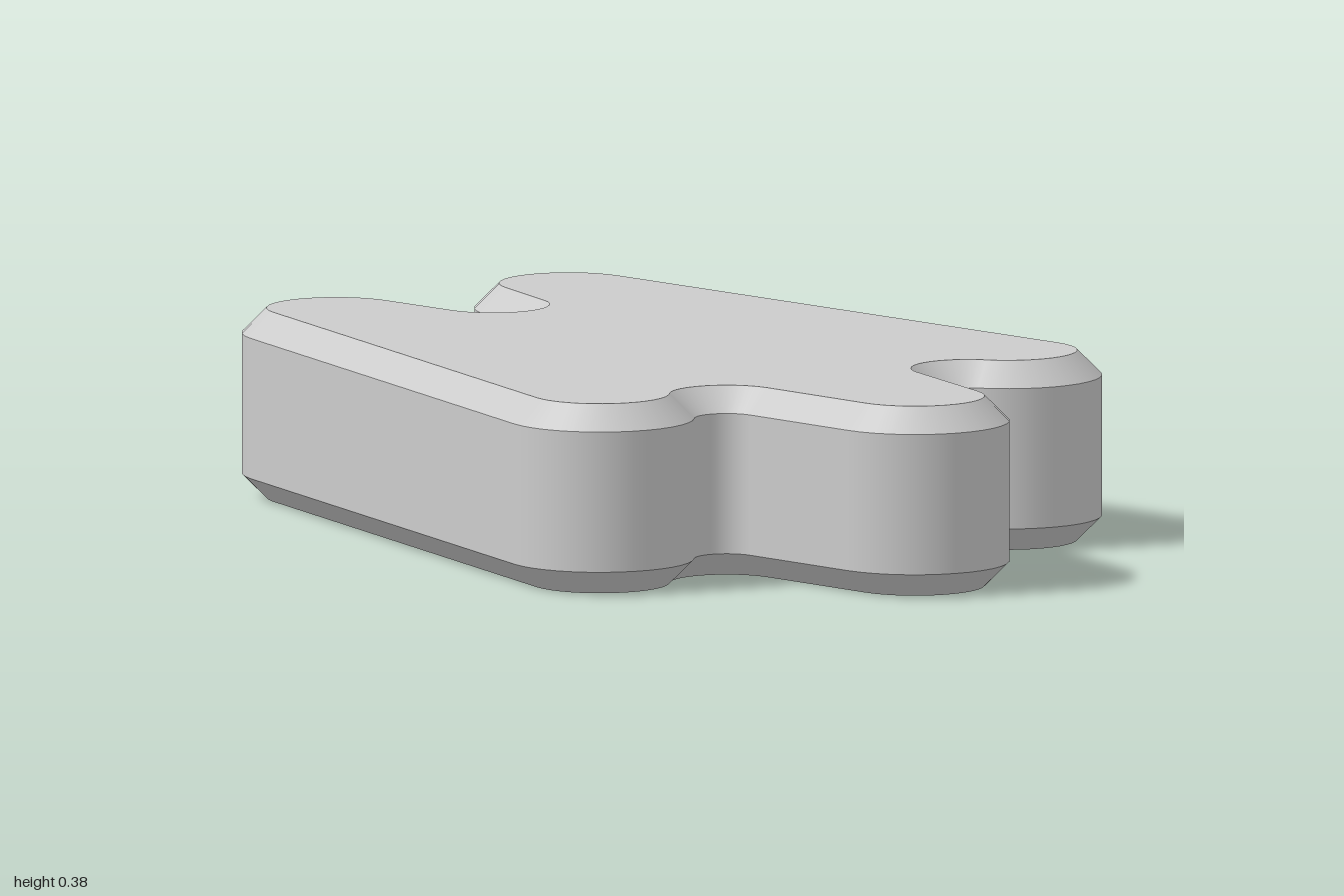
import * as THREE from 'three';

const HEIGHT = 0.385, CHAMFER = 0.05, ARC_STEPS = 16;
const LOBE = 0.19, NOTCH = -0.065; // signed radii: lobes bulge out, notches cut in

// Outline circles [x, depth toward the back, signed radius], counterclockwise from above
const CIRCLES = [
  [0, -0.81, LOBE],
  [0.296, -0.573, NOTCH],
  [0.5, -0.42, LOBE],
  [0.285, 0.81, LOBE],
  [0, 0.67, NOTCH],
  [-0.285, 0.81, LOBE],
  [-0.5, -0.42, LOBE],
  [-0.296, -0.573, NOTCH],
];

// Angle of the outward normal of the common tangent from circle a to circle b
function tangentNormal(a, b) {
  const dx = b[0] - a[0], dy = b[1] - a[1];
  const c = THREE.MathUtils.clamp((a[2] - b[2]) / Math.hypot(dx, dy), -1, 1);
  return Math.atan2(dy, dx) - Math.acos(c);
}

// Samples of the outline: circle plus outward normal, so any inset is exact
function outlineSamples() {
  const n = CIRCLES.length, samples = [];
  CIRCLES.forEach((circle, i) => {
    const start = tangentNormal(CIRCLES[(i + n - 1) % n], circle);
    const end = tangentNormal(circle, CIRCLES[(i + 1) % n]);
    let sweep = THREE.MathUtils.euclideanModulo(end - start, Math.PI * 2);
    if (circle[2] < 0) sweep -= Math.PI * 2;
    for (let k = 0; k <= ARC_STEPS; k++) {
      const t = start + (sweep * k) / ARC_STEPS;
      samples.push({ circle, nx: Math.cos(t), ny: Math.sin(t) });
    }
  });
  return samples;
}

function ring(samples, inset) {
  return samples.map(({ circle: [x, y, r], nx, ny }) =>
    new THREE.Vector2(x + (r - inset) * nx, y + (r - inset) * ny));
}

// Band between two levels, smooth around the outline and sharp at its rims
function band(samples, y0, inset0, y1, inset1) {
  const lower = ring(samples, inset0), upper = ring(samples, inset1);
  const slope = new THREE.Vector2(y1 - y0, inset1 - inset0).normalize();
  const positions = [], normals = [], index = [], n = samples.length;
  samples.forEach(({ nx, ny }, i) => {
    positions.push(lower[i].x, y0, -lower[i].y, upper[i].x, y1, -upper[i].y);
    for (let k = 0; k < 2; k++) normals.push(nx * slope.x, slope.y, -ny * slope.x);
    const a = i * 2, b = ((i + 1) % n) * 2;
    index.push(a, b, b + 1, a, b + 1, a + 1);
  });
  const geometry = new THREE.BufferGeometry();
  geometry.setAttribute('position', new THREE.Float32BufferAttribute(positions, 3));
  geometry.setAttribute('normal', new THREE.Float32BufferAttribute(normals, 3));
  geometry.setIndex(index);
  return geometry;
}

// Flat cap; side is +1 for the top face and -1 for the underside
function cap(samples, y, side) {
  const points = ring(samples, CHAMFER).map(p => new THREE.Vector2(p.x, p.y * side));
  return new THREE.ShapeGeometry(new THREE.Shape(points))
    .rotateX(-side * Math.PI / 2).translate(0, y, 0);
}

export function createModel() {
  const group = new THREE.Group();
  group.name = 'lobedPlate';
  const material = new THREE.MeshStandardMaterial({ color: 0xcccccc });
  const add = (name, geometry) => {
    const mesh = new THREE.Mesh(geometry, material);
    mesh.name = name;
    group.add(mesh);
  };
  const samples = outlineSamples();
  const top = HEIGHT - CHAMFER;

  add('bottomFace', cap(samples, 0, -1));
  add('bottomChamfer', band(samples, 0, CHAMFER, CHAMFER, 0));
  add('sideWall', band(samples, CHAMFER, 0, top, 0));
  add('topChamfer', band(samples, top, 0, HEIGHT, CHAMFER));
  add('topFace', cap(samples, HEIGHT, 1));
  return group;
}
